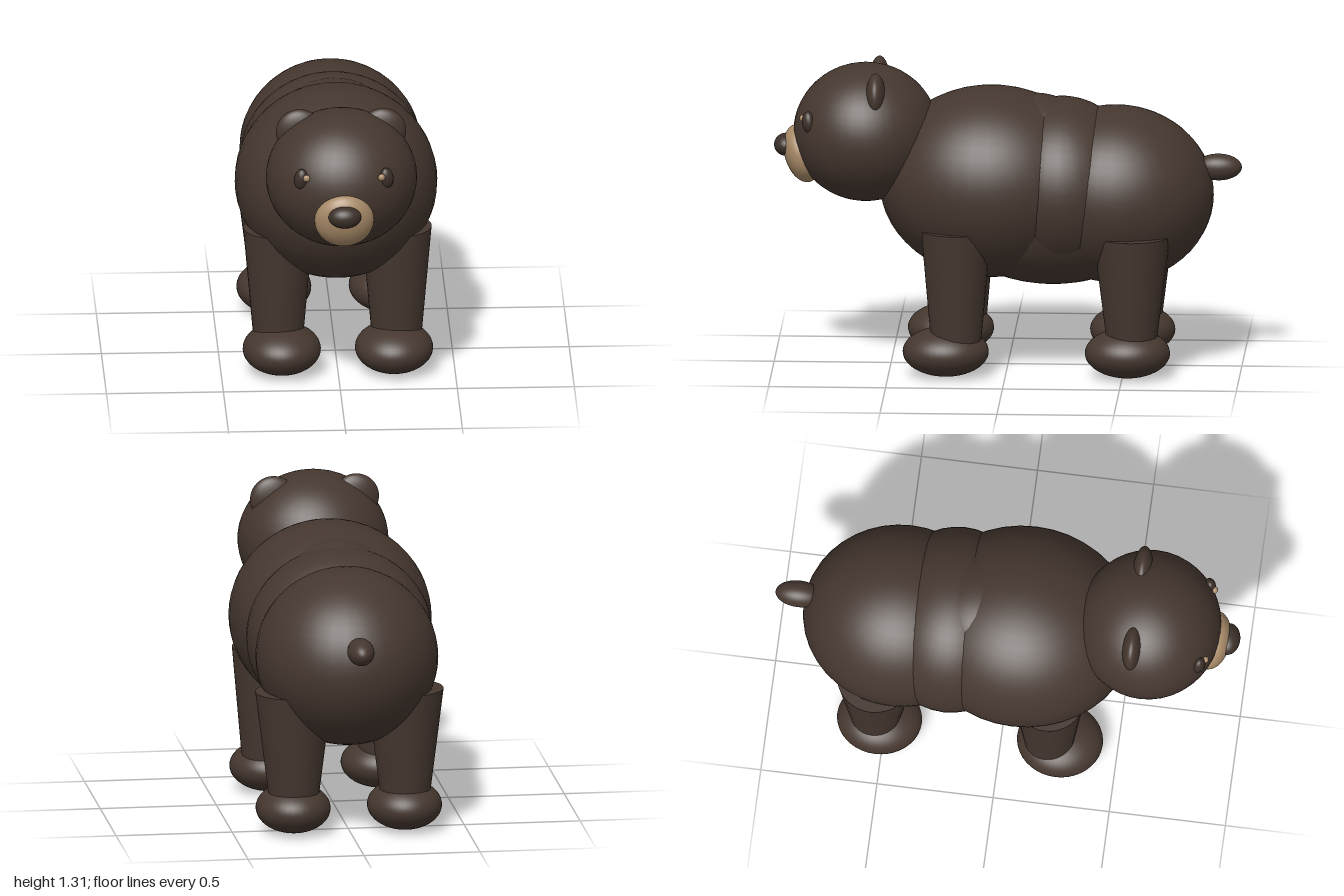
import * as THREE from 'three';

const paint = (name, color) => {
  const m = new THREE.MeshStandardMaterial({ color });
  m.name = name;
  return m;
};

export function createModel() {
  const bear = new THREE.Group();
  bear.name = 'bear';
  const fur = paint('dark brown fur', 0x45372f);
  const tan = paint('tan muzzle', 0xa88a68);
  const dark = paint('dark nose and eyes', 0x3c3029);

  const ball = new THREE.SphereGeometry(1, 40, 28);

  // Ellipsoid from centre and radii
  function blob(name, material, pos, radii, rot = [0, 0, 0]) {
    const mesh = new THREE.Mesh(ball, material);
    mesh.name = name;
    mesh.position.set(...pos);
    mesh.scale.set(...radii);
    mesh.rotation.set(...rot);
    bear.add(mesh);
  }

  // Tapered leg standing in a rounded paw
  function leg(name, x, z, top, rTop, rBottom) {
    const geo = new THREE.CylinderGeometry(rTop, rBottom, top - 0.1, 32);
    const mesh = new THREE.Mesh(geo, fur);
    mesh.name = name;
    mesh.position.set(x, (top + 0.1) / 2, z);
    bear.add(mesh);
  }

  // Body
  blob('chest', fur, [0, 0.8, 0.07], [0.433, 0.41, 0.48]);
  blob('waist', fur, [0, 0.78, -0.23], [0.4, 0.385, 0.34]);
  blob('belly', fur, [0, 0.7, -0.19], [0.36, 0.34, 0.5]);
  blob('backHump', fur, [0, 0.98, -0.11], [0.25, 0.2, 0.25]);
  blob('rump', fur, [0, 0.75, -0.46], [0.39, 0.38, 0.42]);
  blob('tail', fur, [0, 0.87, -0.9], [0.057, 0.057, 0.1]);

  // Head
  blob('head', fur, [0, 1.01, 0.607], [0.323, 0.296, 0.31]);
  blob('muzzle', tan, [0, 0.912, 0.88], [0.127, 0.127, 0.075], [0.28, 0, 0]);
  blob('nose', dark, [0, 0.95, 0.95], [0.07, 0.048, 0.05]);

  // Paired parts
  for (const [side, s] of [['left', 1], ['right', -1]]) {
    blob(`${side}Ear`, fur, [s * 0.178, 1.2, 0.558], [0.1, 0.1, 0.042]);
    blob(`${side}Eye`, dark, [s * 0.183, 1.088, 0.846], [0.03, 0.046, 0.025], [0, s * 0.5, s * 0.15]);
    blob(`${side}EyeGlint`, tan, [s * 0.16, 1.1, 0.872], [0.015, 0.015, 0.012]);

    leg(`${side}FrontLeg`, s * 0.253, 0.21, 0.64, 0.15, 0.103);
    blob(`${side}FrontPaw`, fur, [s * 0.24, 0.105, 0.255], [0.167, 0.105, 0.184]);
    leg(`${side}HindLeg`, s * 0.24, -0.54, 0.62, 0.165, 0.1);
    blob(`${side}HindPaw`, fur, [s * 0.24, 0.105, -0.522], [0.16, 0.105, 0.182]);
  }
  return bear;
}
